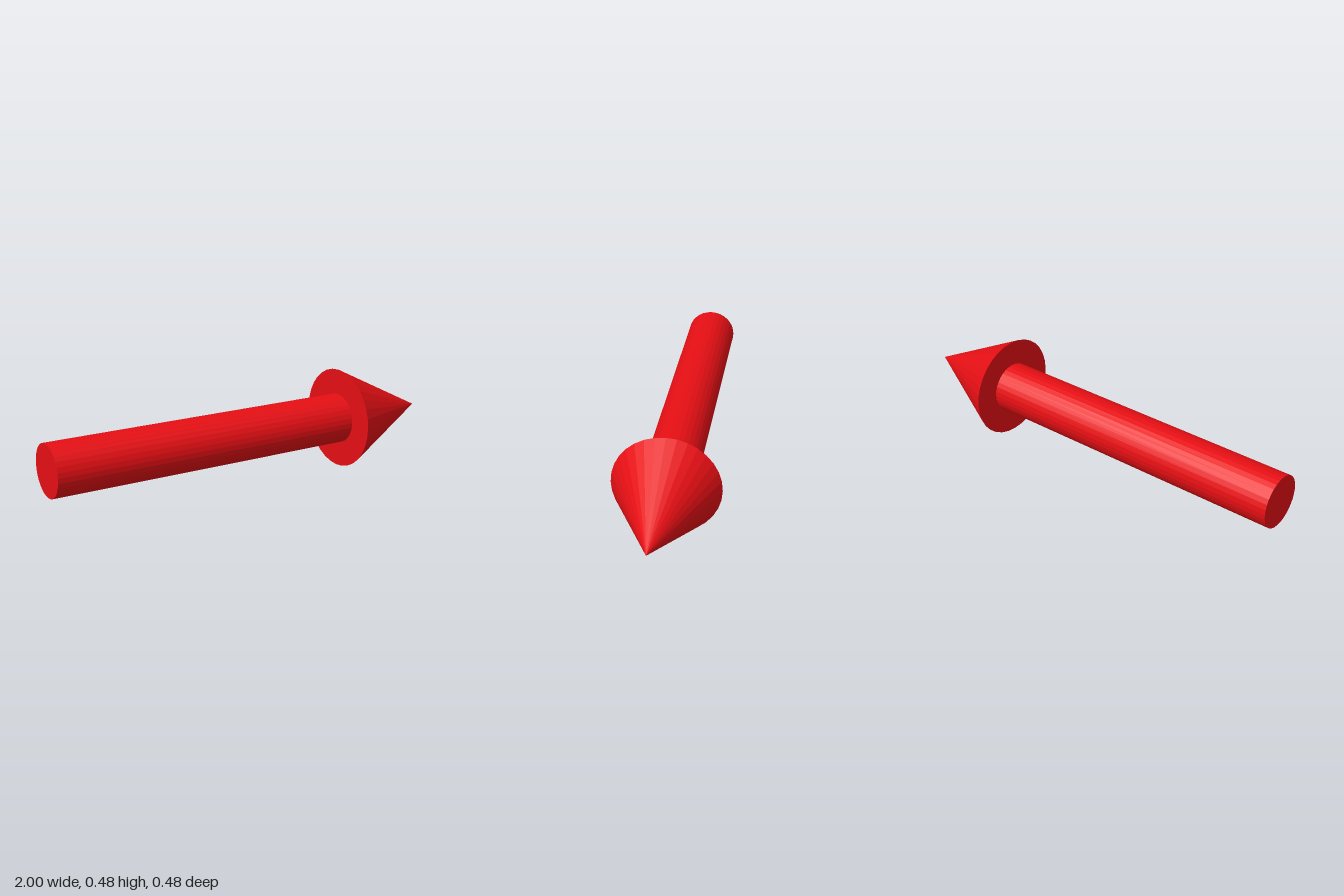
import * as THREE from 'three';

export function createModel() {
  const group = new THREE.Group();
  group.name = 'arrow';
  const red = new THREE.MeshStandardMaterial({ color: 0xe60f14, flatShading: true });

  const sides = 32;
  const headRadius = 0.2415;
  const shaftRadius = 0.12;
  const tail = -1, neck = 0.517, tip = 1;

  // Lay a y-axis solid along +x between two stations
  function addPart(name, geometry, from, to) {
    geometry.rotateZ(-Math.PI / 2);
    const mesh = new THREE.Mesh(geometry, red);
    mesh.name = name;
    mesh.position.set((from + to) / 2, headRadius, 0);
    group.add(mesh);
  }

  // Round shaft with closed ends
  addPart('shaft', new THREE.CylinderGeometry(shaftRadius, shaftRadius, neck - tail, sides), tail, neck);

  // Pointed head with a flat back
  addPart('arrowhead', new THREE.ConeGeometry(headRadius, tip - neck, sides), neck, tip);

  return group;
}
